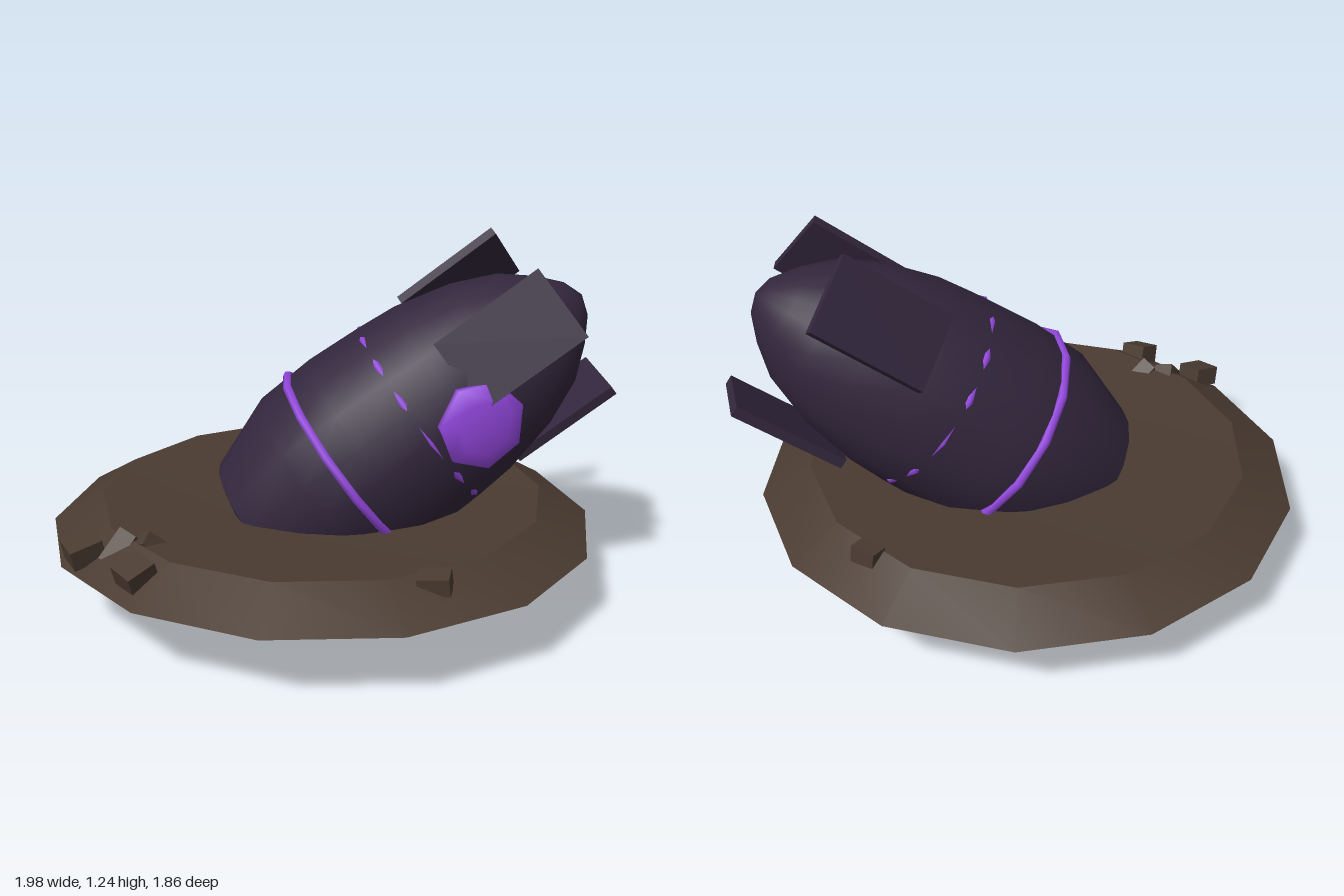
import * as THREE from 'three';
import { toCreasedNormals } from 'three/addons/utils/BufferGeometryUtils.js';

const mat = (name, color) => Object.assign(new THREE.MeshStandardMaterial({ color }), { name });

export function createModel() {
  const shell = mat('dark violet shell', 0x32263c);
  const glow = mat('bright purple', 0x9347dd);
  const dirt = mat('brown dirt', 0x4a3b31);
  const model = new THREE.Group();

  const add = (parent, name, geometry, material, x = 0, y = 0, z = 0) => {
    const mesh = new THREE.Mesh(geometry, material);
    mesh.name = name;
    mesh.position.set(x, y, z);
    parent.add(mesh);
    return mesh;
  };
  const lathe = (points, sides, crease) => toCreasedNormals(
    new THREE.LatheGeometry(points.map(([r, y]) => new THREE.Vector2(r, y)), sides), crease);

  // Dirt mound with a shallow bowl
  add(model, 'dirtMound', lathe([[0, 0.245], [0.955, 0.245], [0.78, 0.345], [0, 0.285]], 14, 0.5)
    .rotateY(Math.PI / 2), dirt, -0.045);

  // Rocks on the rim: x, y, z, size, turn, tilt
  const rocks = [
    [-0.83, 0.31, 0.42, [0.11, 0.07, 0.1], 0.5, 0.15],
    [-0.71, 0.31, 0.43, [0.12, 0.05, 0.07], 0.9, 0.45],
    [-0.60, 0.325, 0.44, [0.1, 0.05, 0.06], 0.6, -0.5],
    [-0.64, 0.315, 0.62, [0.1, 0.07, 0.1], 0.7, 0.2],
    [0.27, 0.325, 0.74, [0.1, 0.06, 0.07], -0.25, 0.15],
    [0.57, 0.33, -0.50, [0.09, 0.06, 0.06], -0.75, 0.15],
  ];
  for (const [x, y, z, size, turn, tilt] of rocks) {
    add(model, 'rock', new THREE.BoxGeometry(...size), dirt, x, y, z).rotation.set(tilt, turn, tilt);
  }

  // Tilted pod; its long axis is local y
  const pod = new THREE.Group();
  pod.name = 'pod';
  pod.position.set(0.055, 0.45, 0);
  pod.rotation.z = -Math.atan2(0.8, 0.6);
  model.add(pod);

  add(pod, 'podBody', lathe([
    [0, -0.476], [0.264, -0.386], [0.365, -0.12], [0.375, 0.1], [0.362, 0.31],
    [0.348, 0.45], [0.298, 0.65], [0.23, 0.8], [0.145, 0.9], [0.07, 0.965], [0, 0.99],
  ], 18, 0.75), shell);

  // Glowing bands; the upper one is mostly sunk into the body
  const band = (name, radius, tube, y) => add(pod, name,
    new THREE.TorusGeometry(radius, tube, 6, 14).rotateX(Math.PI / 2).rotateY(Math.PI / 2), glow, 0, y);
  band('lowerBand', 0.375, 0.016, 0);
  band('upperBand', 0.353, 0.013, 0.303);

  // Three fin plates: position angle, facing angle, radius, height
  const rad = THREE.MathUtils.degToRad;
  for (const [at, facing, r, y] of [[70, 70, 0.31, 0.7], [-50, -50, 0.343, 0.675], [197, 190, 0.335, 0.686]]) {
    const fin = add(pod, 'fin', new THREE.BoxGeometry(0.27, 0.41, 0.035), shell,
      -Math.cos(rad(at)) * r, y, Math.sin(rad(at)) * r);
    fin.rotation.y = rad(facing - 90);
  }

  // Bulging window on the front side
  const window = add(pod, 'window', new THREE.SphereGeometry(1, 7, 5)
    .rotateX(Math.PI / 2).scale(0.16, 0.16, 0.05), glow, 0.06, 0.466, 0.316);
  window.rotation.set(-0.22, 0.18, 0);

  return model;
}
